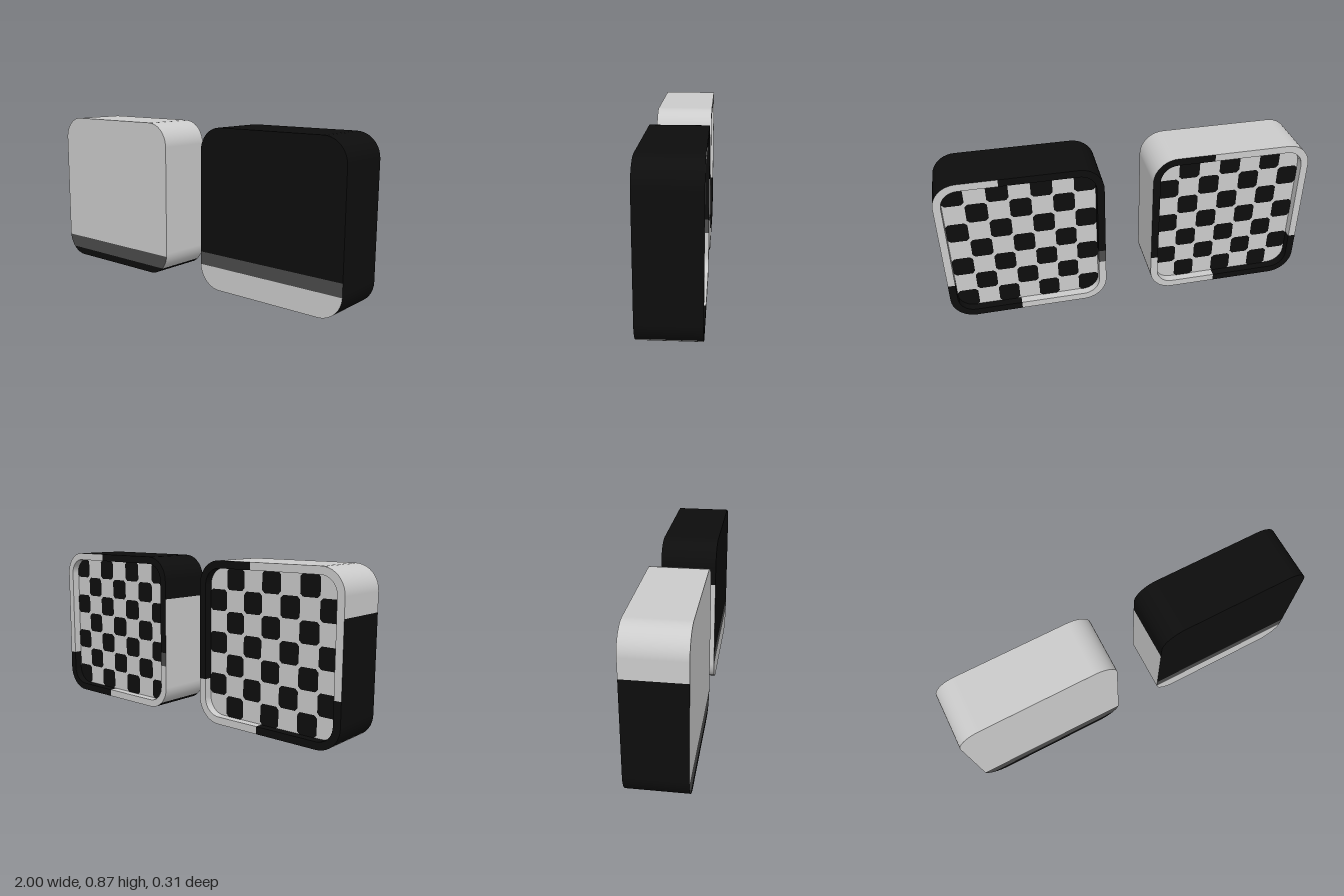
import * as THREE from 'three';

const HALF = 0.435, RADIUS = 0.13, DEPTH = 0.155, RIM = 0.04, RECESS = 0.045;

function material(name, color) {
  const m = new THREE.MeshStandardMaterial({ color });
  m.name = name;
  return m;
}

// Rounded square outline, counter-clockwise, with outward normals
function outline() {
  const pts = [], c = HALF - RADIUS, arc = 10, straight = 24;
  for (let k = 0; k < 4; k++) {
    const turn = (k * Math.PI) / 2;
    const add = (x, y, a) => pts.push({
      x: x * Math.cos(turn) - y * Math.sin(turn),
      y: x * Math.sin(turn) + y * Math.cos(turn),
      nx: Math.cos(a + turn), ny: Math.sin(a + turn),
    });
    for (let i = 0; i < straight; i++) add(HALF, -c + (2 * c * i) / straight, 0);
    for (let i = 0; i < arc; i++) {
      const a = (i / arc) * Math.PI / 2;
      add(c + RADIUS * Math.cos(a), c + RADIUS * Math.sin(a), a);
    }
  }
  return pts;
}

// Strip swept round the outline; pick(x, y) chooses the material index
function strip(from, to, normal, pick) {
  const pts = outline(), pos = [], nor = [];
  const geo = new THREE.BufferGeometry();
  const put = (p, [inset, z]) => {
    pos.push(p.x - p.nx * inset, p.y - p.ny * inset + HALF, z);
    nor.push(p.nx * normal[0], p.ny * normal[0], normal[1]);
  };
  pts.forEach((p, i) => {
    const q = pts[(i + 1) % pts.length];
    put(p, from); put(p, to); put(q, to);
    put(p, from); put(q, to); put(q, from);
    geo.addGroup(i * 6, 6, pick((p.x + q.x) / 2, (p.y + q.y) / 2 + HALF));
  });
  geo.setAttribute('position', new THREE.Float32BufferAttribute(pos, 3));
  geo.setAttribute('normal', new THREE.Float32BufferAttribute(nor, 3));
  return geo;
}

// Horizontal slice of the flat front face
function frontBand(y0, y1) {
  const halfWidth = (y) => {
    const d = Math.max(0, RADIUS - y, y - (2 * HALF - RADIUS));
    return HALF - RADIUS + Math.sqrt(Math.max(0, RADIUS * RADIUS - d * d));
  };
  const right = [], left = [], n = 60;
  for (let i = 0; i <= n; i++) {
    const t = (1 - Math.cos((i / n) * Math.PI)) / 2;
    const y = y0 + (y1 - y0) * t;
    right.push(new THREE.Vector2(halfWidth(y), y));
    left.unshift(new THREE.Vector2(-halfWidth(y), y));
  }
  return new THREE.ShapeGeometry(new THREE.Shape([...right, ...left])).translate(0, 0, DEPTH);
}

const sideOf = (x, y) => {
  const v = y - HALF;
  if (Math.abs(x) > Math.abs(v)) return x > 0 ? 'left' : 'right';
  return v > 0 ? 'top' : 'bottom';
};

// Material indices: 0 main, 1 contrast, 2 stripe
function wallColour(x, y) {
  const side = sideOf(x, y);
  if (side === 'right') return y > 0.645 ? 0 : 1;
  if (side === 'bottom') return x > -0.17 ? 1 : 0;
  return 0;
}

function rimColour(x, y, striped) {
  const side = sideOf(x, y);
  if (side === 'left') return y > 0.24 ? 1 : 0;
  if (side === 'top') return x > 0.11 ? 1 : 0;
  if (side === 'bottom') return x > 0.05 ? 0 : 1;
  if (striped && y > 0.25 && y < 0.34) return 2;
  return y > 0.25 ? 0 : 1;
}

// Chequer square with slightly clipped corners
function chequerCell(size) {
  const h = size / 2, c = 0.015;
  const pts = [[h, -h + c], [h, h - c], [h - c, h], [-h + c, h], [-h, h - c], [-h, -h + c], [-h + c, -h], [h - c, -h]];
  return new THREE.ShapeGeometry(new THREE.Shape(pts.map(([x, y]) => new THREE.Vector2(x, y)))).rotateY(Math.PI);
}

function makeBlock(name, mats, light, black, stripe, parity, striped) {
  const block = new THREE.Group();
  block.name = name;
  const add = (part, geo, mat) => {
    const mesh = new THREE.Mesh(geo, mat);
    mesh.name = part;
    block.add(mesh);
    return mesh;
  };
  const rim = (x, y) => rimColour(x, y, striped);
  const floor = -DEPTH + RECESS;

  // Shell
  add('outerWall', strip([0, DEPTH], [0, -DEPTH], [1, 0], wallColour), mats);
  add('backRim', strip([0, -DEPTH], [RIM, -DEPTH], [0, -1], rim), mats);
  add('recessWall', strip([RIM, -DEPTH], [RIM, floor], [-1, 0], rim), mats);

  // Front face in three bands
  add('frontLowerBand', frontBand(0, stripe[0]), mats[1]);
  add('frontStripe', frontBand(stripe[0], stripe[1]), mats[2]);
  add('frontFace', frontBand(stripe[1], 2 * HALF), mats[0]);

  // Recessed chequered back
  const w = 2 * (HALF - RIM), cell = w / 7;
  add('backPanel', new THREE.PlaneGeometry(w, w).rotateY(Math.PI).translate(0, HALF, floor), light);
  const square = chequerCell(cell);
  for (let r = 0; r < 7; r++) {
    for (let c = 0; c < 7; c++) {
      if ((r + c) % 2 !== parity) continue;
      add('chequerSquare', square, black).position.set((3 - c) * cell, HALF + (3 - r) * cell, floor - 0.003);
    }
  }
  return block;
}

export function createModel() {
  const light = material('lightGrey', 0xcccccc);
  const black = material('black', 0x0d0d0d);
  const grey = material('darkGrey', 0x4c4c4c);

  const model = new THREE.Group();
  model.name = 'blockPair';
  const pale = makeBlock('lightBlock', [light, black, grey], light, black, [0.04, 0.115], 1, false);
  const dark = makeBlock('darkBlock', [black, light, grey], light, black, [0.125, 0.195], 0, true);
  pale.position.x = -0.565;
  dark.position.x = 0.565;
  model.add(pale, dark);
  return model;
}
